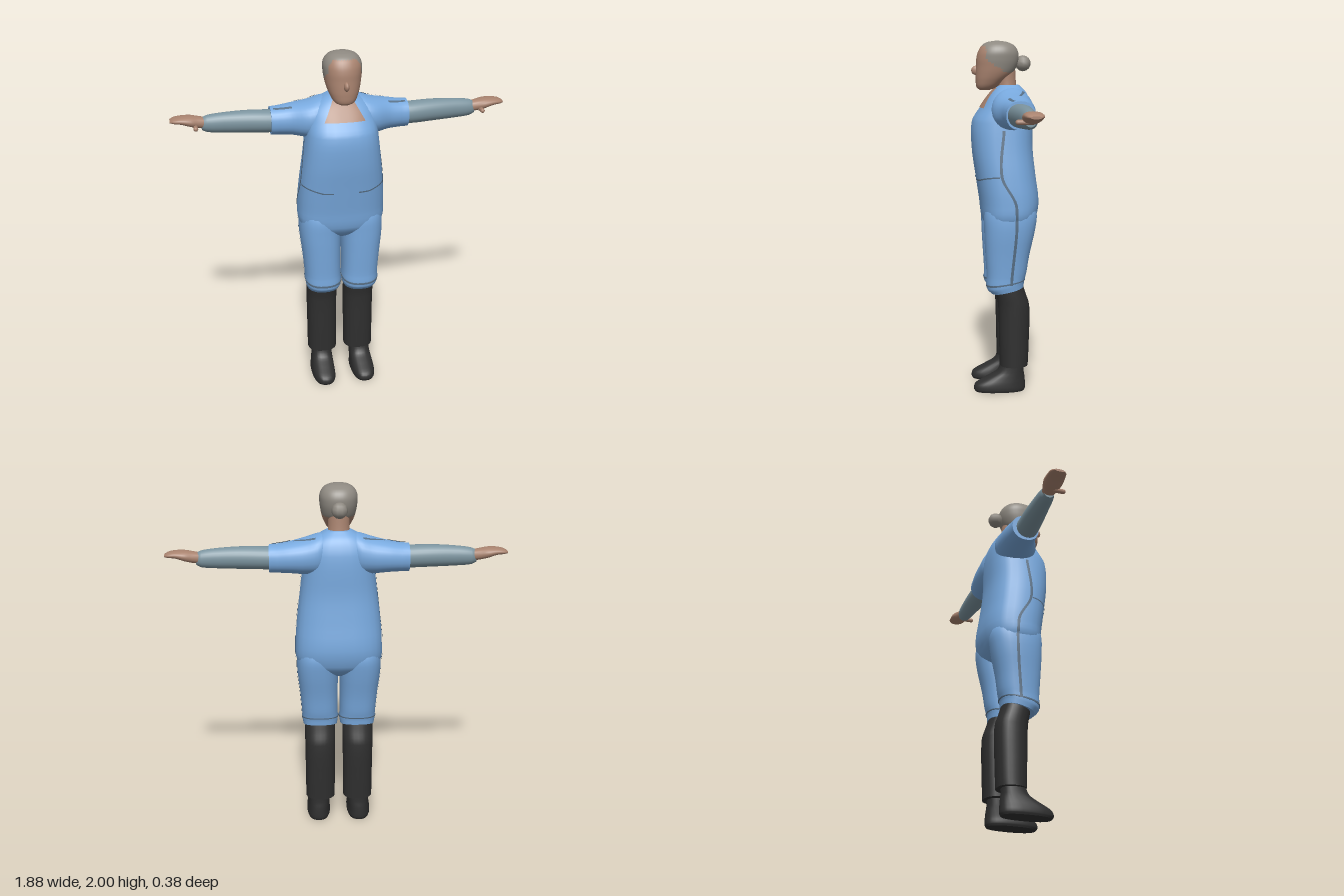
import * as THREE from 'three';
import { ParametricGeometry } from 'three/addons/geometries/ParametricGeometry.js';

const mat = (name, color, side = THREE.FrontSide) => {
  const m = new THREE.MeshStandardMaterial({ color, side });
  m.name = name;
  return m;
};

// Cross-section at t. A section is [t, centre, halfWidth, zFront, zBack].
function sectionAt(secs, t) {
  const up = secs[secs.length - 1][0] > secs[0][0];
  let i = 0;
  while (i < secs.length - 2 && (up ? secs[i + 1][0] < t : secs[i + 1][0] > t)) i++;
  const a = secs[i], b = secs[i + 1];
  const p = secs[Math.max(0, i - 1)], n = secs[Math.min(secs.length - 1, i + 2)];
  const h = b[0] - a[0];
  const k = THREE.MathUtils.clamp((t - a[0]) / h, 0, 1);
  return a.map((v, j) => {
    if (j === 0) return t;
    const ma = (b[j] - p[j]) / (b[0] - p[0]) * h, mb = (n[j] - v) / (n[0] - a[0]) * h;
    const k2 = k * k, k3 = k2 * k;
    return (2 * k3 - 3 * k2 + 1) * v + (k3 - 2 * k2 + k) * ma + (3 * k2 - 2 * k3) * b[j] + (k3 - k2) * mb;
  });
}

// Closed skin through rounded sections, running along y or x.
function loft(secs, { axis = 'y', side = 1, power = 2.4, seg = 28, steps = 4, pick = null } = {}) {
  const pos = [], groups = [[], []], flip = (axis === 'x') !== (side < 0);
  const put = (t, u, z) => pos.push(...(axis === 'y' ? [side * u, t, z] : [side * t, u, z]));
  const ring = ([t, c, r, f, b]) => {
    for (let i = 0; i < seg; i++) {
      const a = i / seg * Math.PI * 2, cs = Math.cos(a), sn = Math.sin(a);
      const round = v => Math.sign(v) * Math.abs(v) ** (2 / power);
      put(t, c + r * round(cs), (f + b) / 2 + (f - b) / 2 * round(sn));
    }
  };
  const face = (a, b, c) => {
    const mid = [0, 1, 2].map(k => (pos[a * 3 + k] + pos[b * 3 + k] + pos[c * 3 + k]) / 3);
    groups[pick && pick(mid) ? 1 : 0].push(...(flip ? [a, c, b] : [a, b, c]));
  };
  let rows = 0;
  for (let i = 0; i < secs.length - 1; i++)
    for (let s = i ? 1 : 0; s <= steps; s++, rows++)
      ring(sectionAt(secs, secs[i][0] + (secs[i + 1][0] - secs[i][0]) * s / steps));
  for (let r = 0; r < rows - 1; r++) for (let i = 0; i < seg; i++) {
    const a = r * seg + i, b = r * seg + (i + 1) % seg;
    face(a, a + seg, b);
    face(b, a + seg, b + seg);
  }
  // end caps
  [secs[0], secs[secs.length - 1]].forEach((s, e) => {
    const start = pos.length / 3;
    ring(s);
    put(s[0], s[1], (s[3] + s[4]) / 2);
    for (let i = 0; i < seg; i++) {
      const a = start + i, b = start + (i + 1) % seg;
      e ? face(a, start + seg, b) : face(a, b, start + seg);
    }
  });
  const g = new THREE.BufferGeometry();
  g.setAttribute('position', new THREE.Float32BufferAttribute(pos, 3));
  g.setIndex([...groups[0], ...groups[1]]);
  if (pick) {
    g.addGroup(0, groups[0].length, 0);
    g.addGroup(groups[0].length, groups[1].length, 1);
  }
  g.computeVertexNormals();
  return g;
}

// Outer surface of a section: width at depth z, or front depth at width u
const bulge = (n, p = 2.4) => (1 - Math.min(1, Math.abs(n)) ** p) ** (1 / p);
const widthAt = ([, c, r, f, b], z, p) => c + r * bulge((z - (f + b) / 2) / ((f - b) / 2), p);
const frontAt = ([, c, r, f, b], u, p) => (f + b) / 2 + (f - b) / 2 * bulge((u - c) / r, p);

export function createModel() {
  const root = new THREE.Group(), body = new THREE.Group();
  root.name = 'person';
  body.name = 'body';
  body.position.x = -0.012;
  root.add(body);
  const blue = mat('uniform blue', 0x78a9de), grey = mat('undershirt grey', 0x7c949f);
  const seam = mat('seam slate', 0x587087, THREE.DoubleSide);
  const skin = mat('skin', 0xaa8470), neckSkin = mat('neckline skin', 0xaa8470, THREE.DoubleSide);
  const hair = mat('hair grey', 0x8f8a82), black = mat('boot black', 0x2f2f2f);
  const add = (name, geo, m, parent = body) => {
    const mesh = new THREE.Mesh(geo, m);
    mesh.name = name;
    parent.add(mesh);
    return mesh;
  };
  const patch = (name, fn, m, nu = 2, nv = 24) =>
    add(name, new ParametricGeometry((u, v, out) => out.set(...fn(u, v)), nu, nv), m);

  const torso = [
    [0.92, 0, 0.06, 0.06, -0.09], [0.95, 0, 0.17, 0.1, -0.135], [1.0, 0, 0.236, 0.132, -0.172],
    [1.1, 0, 0.246, 0.146, -0.19], [1.25, 0, 0.236, 0.168, -0.172], [1.4, 0, 0.218, 0.188, -0.156],
    [1.55, 0, 0.2, 0.186, -0.156], [1.63, 0, 0.188, 0.138, -0.15], [1.68, 0, 0.172, 0.104, -0.136],
    [1.72, 0, 0.13, 0.072, -0.115], [1.755, 0, 0.07, 0.035, -0.08]];
  const leg = [
    [0.575, 0.108, 0.098, 0.085, -0.098], [0.61, 0.108, 0.104, 0.112, -0.102], [0.68, 0.11, 0.104, 0.113, -0.112],
    [0.8, 0.115, 0.109, 0.12, -0.13], [0.95, 0.121, 0.118, 0.127, -0.162], [1.05, 0.12, 0.115, 0.125, -0.17],
    [1.12, 0.12, 0.09, 0.09, -0.13]];
  const sleeve = [
    [0.04, 1.65, 0.085, 0.02, -0.09], [0.1, 1.628, 0.112, 0.075, -0.14], [0.18, 1.614, 0.102, 0.085, -0.148],
    [0.27, 1.61, 0.087, 0.045, -0.146], [0.34, 1.606, 0.079, 0.03, -0.138], [0.385, 1.605, 0.077, 0.025, -0.132]];

  add('tunic', loft(torso, { power: 2.6 }), blue);

  // neckline opening
  patch('neckline', (u, v) => {
    const y = 1.63 + 0.11 * v, x = (u - 0.5) * 2 * (0.113 - 0.06 * v);
    return [x, y, frontAt(sectionAt(torso, y), x, 2.6) + 0.004];
  }, neckSkin, 10, 12);

  // head, hairline and bun
  const isHair = ([, y, z]) => y > 1.972 || (y > 1.825 && z < Math.min(0.11, (y - 1.825) * 1.5));
  add('head', loft([
    [1.727, 0, 0.03, 0.14, 0.085], [1.74, 0, 0.055, 0.158, 0.05], [1.78, 0, 0.078, 0.164, 0],
    [1.82, 0, 0.092, 0.164, -0.045], [1.86, 0, 0.1, 0.162, -0.068], [1.9, 0, 0.105, 0.16, -0.078],
    [1.94, 0, 0.104, 0.15, -0.075], [1.975, 0, 0.085, 0.128, -0.052], [1.994, 0, 0.052, 0.095, -0.012],
    [2.0, 0, 0.012, 0.055, 0.03]], { power: 2.2, seg: 40, steps: 5, pick: isHair }), [skin, hair]);
  add('neck', loft([[1.68, 0, 0.07, 0.045, -0.075], [1.76, 0, 0.06, 0.045, -0.065], [1.84, 0, 0.06, 0.06, -0.06]],
    { power: 2 }), skin);
  const nose = add('nose', new THREE.SphereGeometry(1, 12, 8), skin);
  nose.scale.set(0.015, 0.026, 0.026);
  nose.position.set(0, 1.836, 0.163);
  const bun = add('hairBun', new THREE.SphereGeometry(0.045, 10, 7), hair);
  bun.position.set(0, 1.875, -0.103);

  for (const s of [1, -1]) {
    const label = s > 0 ? 'left' : 'right';
    // trousers, hem slanting up at the back
    const slant = g => {
      const p = g.attributes.position;
      for (let i = 0; i < p.count; i++) {
        const fade = THREE.MathUtils.clamp((0.7 - p.getY(i)) / 0.1, 0, 1);
        p.setY(i, p.getY(i) + fade * 0.045 * (0.09 - p.getZ(i)) / 0.2);
      }
      g.computeVertexNormals();
      return g;
    };
    add(label + 'Trouser', slant(loft(leg, { side: s })), blue);
    const band = [0.624, 0.634].map(y => {
      const [t, c, r, f, b] = sectionAt(leg, y);
      return [t, c, r + 0.003, f + 0.003, b - 0.003];
    });
    add(label + 'HemSeam', slant(loft(band, { side: s, steps: 1 })), seam);

    // boots and shoes
    add(label + 'BootShaft', loft([
      [0.15, 0.11, 0.085, 0.038, -0.124], [0.3, 0.11, 0.086, 0.042, -0.13], [0.5, 0.11, 0.088, 0.047, -0.132],
      [0.58, 0.11, 0.089, 0.06, -0.108], [0.64, 0.11, 0.088, 0.07, -0.09]], { side: s, power: 2.3 }), black);
    add(label + 'Shoe', loft([
      [0, 0.12, 0.064, 0.182, -0.102], [0.015, 0.12, 0.069, 0.19, -0.108], [0.045, 0.12, 0.067, 0.178, -0.108],
      [0.08, 0.118, 0.063, 0.115, -0.105], [0.115, 0.116, 0.06, 0.055, -0.1], [0.17, 0.114, 0.058, 0.03, -0.1]],
      { side: s, power: 2.5 }), black);

    // short sleeve, arm and hand
    add(label + 'Sleeve', loft(sleeve, { axis: 'x', side: s, power: 2.2 }), blue);
    add(label + 'Arm', loft([
      [0.3, 1.605, 0.06, 0.01, -0.115], [0.39, 1.606, 0.063, 0.018, -0.108], [0.52, 1.61, 0.062, 0.008, -0.108],
      [0.65, 1.61, 0.056, -0.008, -0.104], [0.74, 1.608, 0.047, -0.02, -0.1], [0.77, 1.608, 0.034, -0.03, -0.09]],
      { axis: 'x', side: s, power: 2.1 }), grey, root);
    add(label + 'Hand', loft([
      [0.74, 1.612, 0.03, -0.03, -0.09], [0.79, 1.62, 0.031, -0.02, -0.105], [0.83, 1.628, 0.029, -0.01, -0.116],
      [0.88, 1.636, 0.02, -0.012, -0.114], [0.92, 1.635, 0.014, -0.022, -0.11], [0.94, 1.632, 0.007, -0.04, -0.095]],
      { axis: 'x', side: s, power: 2.3, seg: 20 }), skin, root);
    const thumb = add(label + 'Thumb', new THREE.CapsuleGeometry(0.013, 0.05, 4, 10), skin, root);
    thumb.position.set(s * 0.805, 1.602, -0.018);
    thumb.rotation.set(Math.PI / 2, 0, -s * 0.95, 'ZXY');

    // side seam from underarm to hem
    const seamZ = [[0.64, 0, 0, -0.02, 0], [1.09, 0, 0, -0.045, 0], [1.26, 0, 0, 0.035, 0], [1.52, 0, 0, 0.02, 0]];
    patch(label + 'SideSeam', (u, v) => {
      const y = 0.64 + 0.87 * v, z = sectionAt(seamZ, y)[3] + (u - 0.5) * 0.016;
      const x = Math.max(y > 0.96 ? widthAt(sectionAt(torso, y), z, 2.6) : 0, y < 1.1 ? widthAt(sectionAt(leg, y), z) : 0);
      return [s * (x + 0.003), y, z];
    }, seam, 2, 50);
    // waist seam
    patch(label + 'WaistSeam', (u, v) => {
      const x = 0.07 + 0.163 * v, y = 1.228 + Math.max(0, v - 0.35) * 0.04 + (u - 0.5) * 0.008;
      return [s * x, y, frontAt(sectionAt(torso, y), x, 2.6) + 0.003];
    }, seam);
    // shoulder seams
    [[0.13, 0.25, -0.095, -0.065], [0.27, 0.37, 0.0, -0.02]].forEach(([x0, x1, z0, z1], i) =>
      patch(label + (i ? 'SleeveSeam' : 'YokeSeam'), (u, v) => {
        const x = x0 + (x1 - x0) * v, z = z0 + (z1 - z0) * v + (u - 0.5) * 0.014;
        return [s * x, widthAt(sectionAt(sleeve, x), z, 2.2) + 0.004, z];
      }, seam));
  }
  return root;
}
